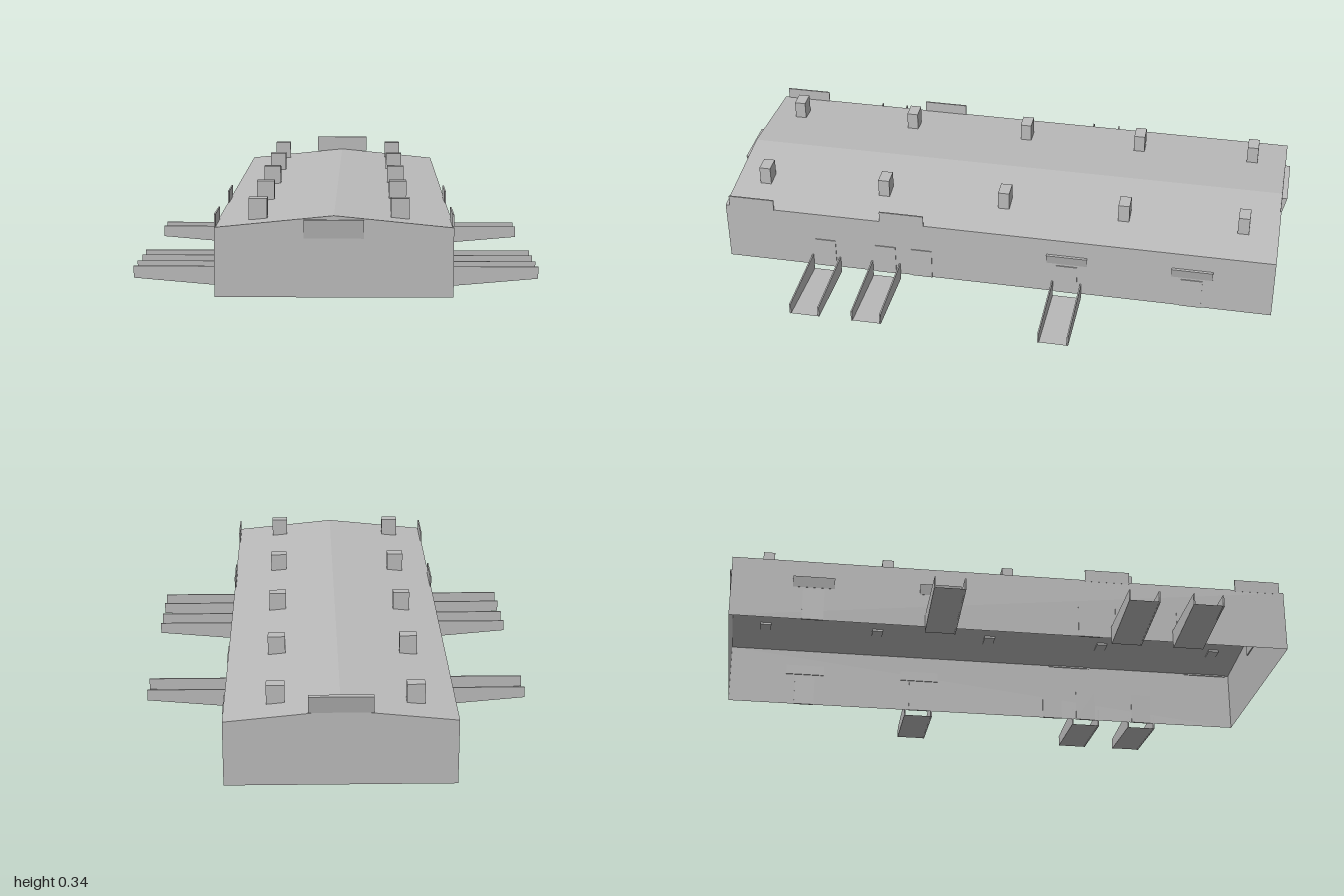
import * as THREE from 'three';

const W = 0.378, BACK = -0.985, FRONT = 0.99;
const BASE = 0.022, EAVE = 0.245, RIDGE = 0.283;

export function createModel() {
  const model = new THREE.Group();
  const grey = new THREE.MeshStandardMaterial({ color: 0xbcbcbc, side: THREE.DoubleSide });
  grey.name = 'light grey';

  function add(name, geometry, x = 0, y = 0, z = 0, turn = 0) {
    const mesh = new THREE.Mesh(geometry, grey);
    mesh.name = name;
    mesh.position.set(x, y, z);
    mesh.rotation.y = turn;
    model.add(mesh);
    return mesh;
  }

  function box(name, w, h, d, x, y, z) {
    return add(name, new THREE.BoxGeometry(w, h, d), x, y, z);
  }

  // Flat quad from four corners
  function quad(name, a, b, c, d) {
    const g = new THREE.BufferGeometry();
    g.setAttribute('position', new THREE.Float32BufferAttribute([a, b, c, a, c, d].flat(), 3));
    g.computeVertexNormals();
    return add(name, g);
  }

  // Board leaning outward at the top; its profile points along +x
  function leaningBoard(name, length, height, depth, x, y, z, turn) {
    const shape = new THREE.Shape([
      new THREE.Vector2(-0.004, 0), new THREE.Vector2(0.001, 0),
      new THREE.Vector2(depth, height), new THREE.Vector2(-0.004, height),
    ]);
    const g = new THREE.ExtrudeGeometry(shape, { depth: length, bevelEnabled: false });
    g.translate(0, 0, -length / 2);
    add(name, g, x, y, z, turn);
  }

  // Open-bottomed hall: two side walls and two roof slopes
  const section = [[-W, BASE], [-W, EAVE], [0, RIDGE], [W, EAVE], [W, BASE]];
  const names = ['rightWall', 'rightRoof', 'leftRoof', 'leftWall'];
  names.forEach((name, i) => {
    const p = section[i], q = section[i + 1];
    quad(name, [...p, BACK], [...p, FRONT], [...q, FRONT], [...q, BACK]);
  });

  // Gable ends
  const gable = new THREE.Shape(section.map(([x, y]) => new THREE.Vector2(x, y)));
  add('frontWall', new THREE.ShapeGeometry(gable), 0, 0, FRONT);
  add('backWall', new THREE.ShapeGeometry(gable), 0, 0, BACK, Math.PI);

  // End signboards
  leaningBoard('frontSign', 0.19, 0.06, 0.01, 0, 0.21, FRONT, -Math.PI / 2);
  leaningBoard('backSign', 0.21, 0.06, 0.015, 0, 0.275, BACK, Math.PI / 2);

  // Roof vents
  for (const z of [-0.86, -0.437, -0.005, 0.435, 0.88]) {
    for (const x of [-0.245, 0.21]) box('roofVent', 0.06, 0.068, 0.04, x, 0.291, z);
  }

  for (const side of [-1, 1]) {
    const turn = side > 0 ? 0 : Math.PI;

    // Raised plates on the eaves
    for (const [z0, z1] of [[0.81, 0.975], [0.26, 0.42]]) {
      box('eavePlate', 0.005, 0.045, z1 - z0, side * (W - 0.002), 0.2625, (z0 + z1) / 2);
    }

    // Doors
    for (const z of [0.625, 0.403, 0.27, -0.257, -0.7]) {
      box('door', 0.006, 0.115, 0.075, side * W, BASE + 0.0575, z);
    }

    // Small boards above the rear doors
    for (const z of [-0.257, -0.7]) {
      leaningBoard('doorSign', 0.145, 0.037, 0.01, side * W, 0.145, z, turn);
    }

    // Loading ramps: sloping floor between two side walls
    const rail = new THREE.Shape([
      new THREE.Vector2(0, 0), new THREE.Vector2(0.298, 0.026),
      new THREE.Vector2(0.298, 0.066), new THREE.Vector2(0, 0.066),
    ]);
    const railGeometry = new THREE.ExtrudeGeometry(rail, { depth: 0.005, bevelEnabled: false });
    railGeometry.translate(0, 0, -0.0025);
    for (const z of [0.625, 0.403, -0.257]) {
      const x0 = side * W, x1 = side * 0.676, h = 0.051;
      quad('rampFloor', [x0, 0.001, z - h], [x0, 0.001, z + h], [x1, 0.027, z + h], [x1, 0.027, z - h]);
      for (const edge of [-h, h]) add('rampWall', railGeometry, x0, 0, z + edge, turn);
    }
  }

  return model;
}
